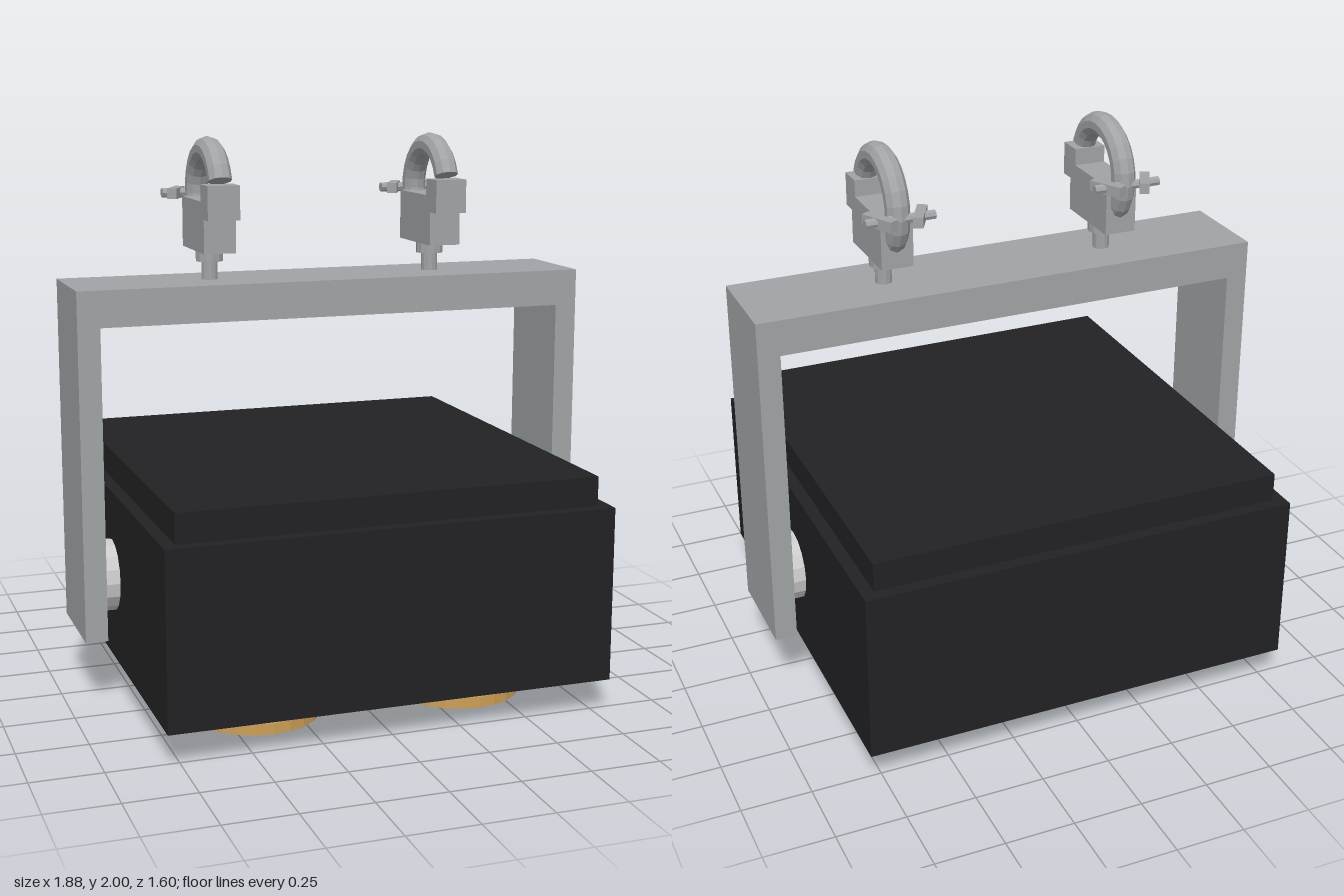
import * as THREE from 'three';

const mat = (color, extra = {}) => new THREE.MeshStandardMaterial({ color, flatShading: true, ...extra });
const black = mat(0x222224);
const steel = mat(0xa0a4a6, { side: THREE.DoubleSide });
const pale = mat(0xcccccc);
const gold = mat(0xcc9f58, { side: THREE.DoubleSide });

function add(parent, name, geometry, material, x = 0, y = 0, z = 0) {
  const mesh = new THREE.Mesh(geometry, material);
  mesh.name = name;
  mesh.position.set(x, y, z);
  parent.add(mesh);
  return mesh;
}

// Box given by its lower and upper y
const slab = (w, y0, y1, d) => new THREE.BoxGeometry(w, y1 - y0, d).translate(0, (y0 + y1) / 2, 0);
const drum = (r, y0, y1, sides = 24) =>
  new THREE.CylinderGeometry(r, r, y1 - y0, sides).translate(0, (y0 + y1) / 2, 0);

function polygon(points) {
  return new THREE.Shape(points.map(([x, y]) => new THREE.Vector2(x, y)));
}
const square = (h) => [[-h, -h], [h, -h], [h, h], [-h, h]];

function createLamp() {
  const lamp = new THREE.Group();
  lamp.name = 'lamp';
  add(lamp, 'lampHousing', drum(0.33, 0.15, 0.66), pale);
  add(lamp, 'lampFlange', drum(0.34, 0.125, 0.155), steel);

  // Stepped lens: concentric ridges from the centre, then the rim and collar
  const profile = [[0, 0.03], [0.06, 0.03]];
  for (let i = 0; i < 4; i++) {
    const r = 0.07 + i * 0.04;
    profile.push([r, 0.012 - i * 0.003], [r + 0.014, 0.012 - i * 0.003], [r + 0.016, 0.04], [r + 0.03, 0.04]);
  }
  profile.push([0.222, 0], [0.235, 0], [0.235, 0.04], [0.2, 0.045], [0.2, 0.052],
    [0.26, 0.07], [0.26, 0.13]);
  add(lamp, 'lens', new THREE.LatheGeometry(profile.map(([x, y]) => new THREE.Vector2(x, y)), 24), gold);

  // Three retaining clips
  for (let i = 0; i < 3; i++) {
    const a = Math.PI / 6 + (i * 2 * Math.PI) / 3;
    const clip = add(lamp, 'retainingClip', slab(0.08, 0.08, 0.13, 0.06), pale,
      Math.cos(a) * 0.31, 0, Math.sin(a) * 0.31);
    clip.rotation.y = -a;
  }
  return lamp;
}

function createClamp() {
  const clamp = new THREE.Group();
  clamp.name = 'clamp';
  add(clamp, 'clampStem', drum(0.03, 1.495, 1.57, 12), steel);
  add(clamp, 'clampCollar', drum(0.05, 1.56, 1.605, 12), steel);

  // Jaw block with a raised lip at the front
  const jaw = polygon([[-0.15, 1.6], [0.145, 1.6], [0.145, 1.72], [0.2, 1.72],
    [0.2, 1.84], [0.105, 1.84], [0.105, 1.78], [-0.15, 1.78]]);
  const jawGeo = new THREE.ExtrudeGeometry(jaw, { depth: 0.116, bevelEnabled: false })
    .translate(0, 0, -0.058).rotateY(-Math.PI / 2);
  add(clamp, 'clampJaw', jawGeo, steel);

  // Curved hook over the pipe, with its open end capped
  const start = THREE.MathUtils.degToRad(21);
  const arc = THREE.MathUtils.degToRad(235);
  const R = 0.162, r = 0.043;
  const hook = new THREE.TorusGeometry(R, r, 10, 16, arc).rotateZ(start).rotateY(-Math.PI / 2);
  const cap = new THREE.CircleGeometry(r, 10).rotateX(Math.PI / 2).translate(R, 0, 0)
    .rotateZ(start).rotateY(-Math.PI / 2);
  add(clamp, 'clampHook', hook, steel, 0, 1.795, 0);
  add(clamp, 'clampHookEnd', cap, steel, 0, 1.795, 0);

  // Cross pin and splayed wings
  add(clamp, 'crossPin', new THREE.CylinderGeometry(0.017, 0.017, 0.25, 8).rotateZ(Math.PI / 2),
    steel, 0, 1.79, -0.185);
  for (const s of [-1, 1]) {
    const wing = add(clamp, 'wing', new THREE.BoxGeometry(0.035, 0.038, 0.13), steel, s * 0.072, 1.79, -0.185);
    wing.rotation.y = s * 0.48;
  }
  return clamp;
}

export function createModel() {
  const model = new THREE.Group();
  model.name = 'fourLampFixture';

  // Open-bottomed case and lid
  const wall = polygon(square(0.8));
  wall.holes.push(polygon(square(0.745)));
  const wallGeo = new THREE.ExtrudeGeometry(wall, { depth: 0.625, bevelEnabled: false }).rotateX(-Math.PI / 2);
  add(model, 'caseWalls', wallGeo, black, 0, 0.12, 0);
  add(model, 'caseLid', slab(1.51, 0.65, 0.85, 1.51), black);

  // Four lamps
  for (const x of [-0.383, 0.383]) {
    for (const z of [-0.382, 0.382]) {
      const lamp = createLamp();
      lamp.position.set(x, 0, z);
      model.add(lamp);
    }
  }

  // Hanging yoke
  const yoke = polygon([[-0.94, 0.245], [-0.86, 0.245], [-0.86, 1.365], [0.86, 1.365],
    [0.86, 0.245], [0.94, 0.245], [0.94, 1.495], [-0.94, 1.495]]);
  const yokeGeo = new THREE.ExtrudeGeometry(yoke, { depth: 0.36, bevelEnabled: false }).translate(0, 0, -0.18);
  add(model, 'yoke', yokeGeo, steel);

  // Pivots and pipe clamps on both sides
  for (const s of [-1, 1]) {
    add(model, 'pivot', new THREE.CylinderGeometry(0.13, 0.13, 0.07, 16).rotateZ(Math.PI / 2),
      pale, s * 0.83, 0.435, 0);
    const clamp = createClamp();
    clamp.position.x = s * 0.423;
    model.add(clamp);
  }
  return model;
}
